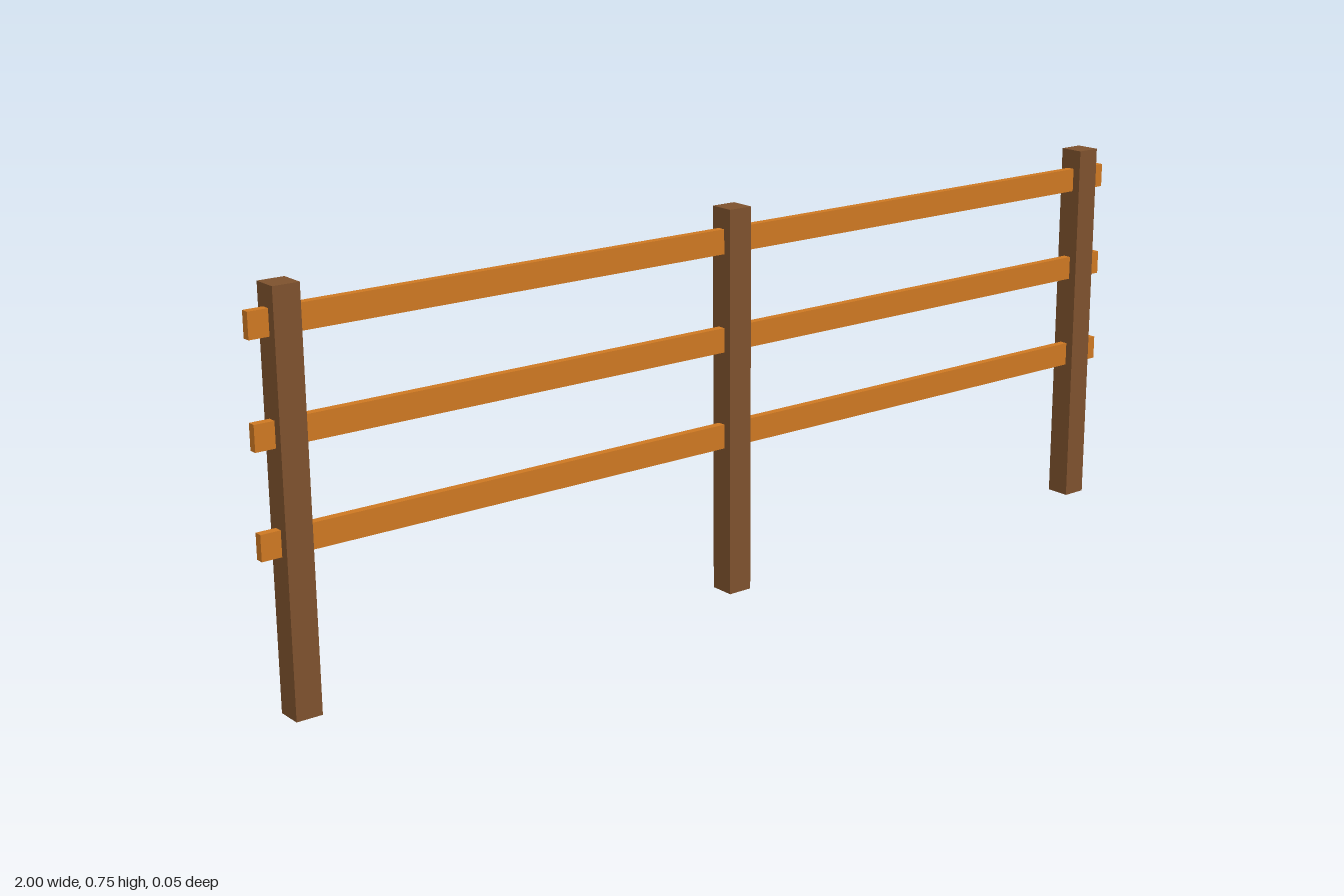
import * as THREE from 'three';

export function createModel() {
  const fence = new THREE.Group();
  fence.name = 'fence';

  const darkWood = new THREE.MeshStandardMaterial({ color: 0x7d512d });
  darkWood.name = 'dark wood';
  const orangeWood = new THREE.MeshStandardMaterial({ color: 0xcc7722 });
  orangeWood.name = 'orange wood';

  const addBox = (name, material, [w, h, d], [x, y, z]) => {
    const mesh = new THREE.Mesh(new THREE.BoxGeometry(w, h, d), material);
    mesh.name = name;
    mesh.position.set(x, y, z);
    fence.add(mesh);
  };

  // Three square posts standing on the ground
  const posts = { rightPost: -0.9375, middlePost: 0, leftPost: 0.9375 };
  for (const [name, x] of Object.entries(posts)) {
    addBox(name, darkWood, [0.05, 0.75, 0.05], [x, 0.375, 0]);
  }

  // Three thin rails running through the posts and past the ends
  const rails = { lowerRail: 0.3125, middleRail: 0.5, upperRail: 0.6875 };
  for (const [name, y] of Object.entries(rails)) {
    addBox(name, orangeWood, [2, 0.047, 0.016], [0, y, 0]);
  }

  return fence;
}
